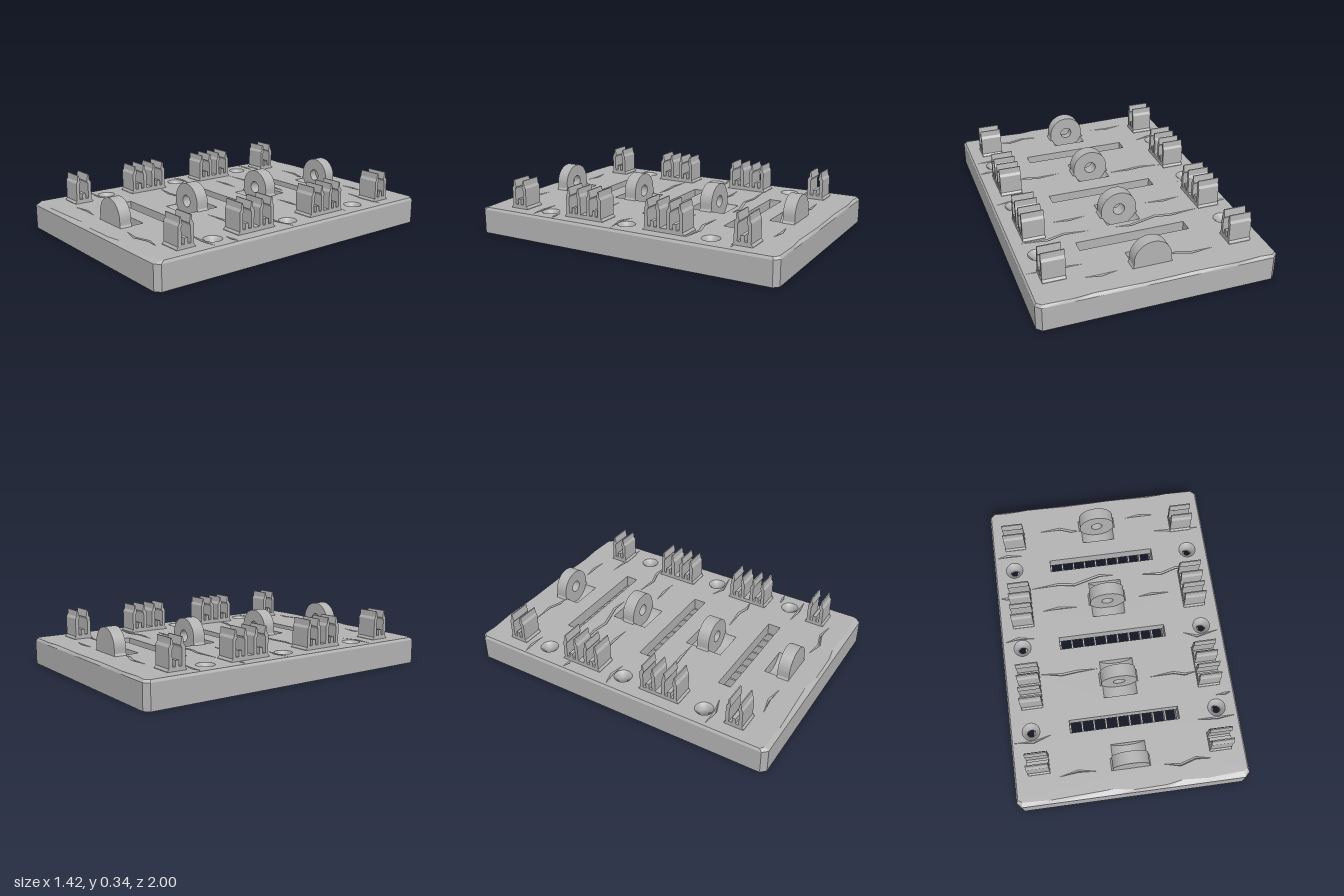
import * as THREE from 'three';

const TOP = 0.165, SHOULDER = 0.15, CEIL = 0.09;

export function createModel() {
  const group = new THREE.Group();
  const grey = new THREE.MeshStandardMaterial({ color: 0xb2b2b2, side: THREE.DoubleSide });
  grey.name = 'grey';

  const add = (name, geo, x = 0, y = 0, z = 0) => {
    const m = new THREE.Mesh(geo, grey);
    m.name = name;
    m.position.set(x, y, z);
    group.add(m);
    return m;
  };
  // plan shapes are given in x,z
  const path = (pts, C = THREE.Path) => new C(pts.map(([x, z]) => new THREE.Vector2(x, -z)));
  const rect = (x0, x1, z0, z1) => [[x0, z0], [x0, z1], [x1, z1], [x1, z0]];
  const circle = (x, z, r) => {
    const pts = [];
    for (let i = 0; i < 24; i++) pts.push([x + r * Math.cos(i * Math.PI / 12), z + r * Math.sin(i * Math.PI / 12)]);
    return pts;
  };
  const planShape = (outline, holes) => {
    const s = path(outline, THREE.Shape);
    holes.forEach(h => s.holes.push(path(h)));
    return s;
  };
  const slab = (outline, holes, y0, y1) =>
    new THREE.ExtrudeGeometry(planShape(outline, holes), { depth: y1 - y0, bevelEnabled: false })
      .rotateX(-Math.PI / 2).translate(0, y0, 0);
  // band of flat quads between two rows of points
  const strip = (a, b) => {
    const v = [];
    for (let i = 0; i + 1 < a.length; i++) v.push(...a[i], ...b[i], ...b[i + 1], ...a[i], ...b[i + 1], ...a[i + 1]);
    const g = new THREE.BufferGeometry();
    g.setAttribute('position', new THREE.Float32BufferAttribute(v, 3));
    g.computeVertexNormals();
    return g;
  };
  const wall = (pts, y0, y1) => {
    const loop = [...pts, pts[0]];
    return strip(loop.map(([x, z]) => [x, y0, z]), loop.map(([x, z]) => [x, y1, z]));
  };

  // openings in the plate
  const rows = [-0.55, 0, 0.55];
  const slots = rows.map(z => rect(-0.34, 0.34, z - 0.04, z + 0.04));
  const screws = rows.flatMap(z => [[-0.58, z], [0.58, z]]);
  const screwHoles = screws.map(([x, z]) => circle(x, z, 0.055));
  const troughs = [[-0.78, -0.695], [-0.395, -0.155], [0.155, 0.395], [0.695, 0.78]];
  const troughHoles = troughs.map(([a, b]) => rect(-0.105, 0.105, a, b));

  // body: lower frame with three pockets, then the deck
  const outline = [[-0.68, 1], [0.68, 1], [0.71, 0.97], [0.71, -0.97], [0.68, -1], [-0.68, -1], [-0.71, -0.97], [-0.71, 0.97]];
  const pockets = rows.map(z => rect(-0.67, 0.67, z - 0.22, z + 0.22));
  add('lowerFrame', slab(outline, pockets, 0, CEIL));
  add('deck', slab(outline, [...slots, ...screwHoles, ...troughHoles], CEIL, SHOULDER));

  // worn top edge: outer point and matching inner point
  const front = [[-0.5, 0.98], [-0.12, 0.965], [0, 0.985], [0.2, 0.982], [0.3, 0.965], [0.45, 0.975]];
  const back = [[0.5, -0.992], [0.38, -0.982], [0.1, -0.99], [-0.2, -0.984], [-0.45, -0.992], [-0.6, -0.982]];
  const inner = [[-0.675, 0.972], ...front, [0.675, 0.962], [0.7, 0.95], [0.7, -0.965],
    [0.675, -0.988], ...back, [-0.675, -0.988], [-0.7, -0.965], [-0.7, 0.955]];
  const outer = [outline[0], ...front.map(p => [p[0], 1]), outline[1], outline[2], outline[3],
    outline[4], ...back.map(p => [p[0], -1]), outline[5], outline[6], outline[7]];
  const ring = (pts, y) => [...pts, pts[0]].map(([x, z]) => [x, y, z]);
  add('wornEdge', strip(ring(outer, SHOULDER), ring(inner, TOP)));

  // cracks: shallow V grooves along zigzag lines
  const cracks = [
    [[-0.39, -0.81], [-0.25, -0.818], [-0.17, -0.79], [-0.125, -0.787]],
    [[0.2, -0.84], [0.3, -0.85], [0.4, -0.84]],
    [[0.36, -0.72], [0.5, -0.71], [0.69, -0.708]],
    [[-0.69, -0.65], [-0.62, -0.66], [-0.52, -0.65]],
    [[-0.49, -0.4], [-0.3, -0.412], [-0.2, -0.395], [-0.03, -0.44], [0.07, -0.43]],
    [[0.23, -0.415], [0.38, -0.4], [0.48, -0.43], [0.65, -0.415]],
    [[-0.69, -0.36], [-0.65, -0.354], [-0.6, -0.35]],
    [[-0.43, -0.235], [-0.32, -0.245], [-0.2, -0.235]],
    [[0.2, -0.255], [0.3, -0.265], [0.41, -0.26]],
    [[-0.69, -0.05], [-0.6, -0.068], [-0.5, -0.055]],
    [[0.45, 0.03], [0.54, 0.067], [0.69, 0.04]],
    [[-0.49, 0.19], [-0.35, 0.21], [-0.25, 0.2], [-0.12, 0.2]],
    [[0.19, 0.3], [0.35, 0.29], [0.42, 0.31], [0.5, 0.3]],
    [[0.59, 0.47], [0.65, 0.468], [0.69, 0.46]],
    [[-0.69, 0.61], [-0.57, 0.617], [-0.46, 0.585]],
    [[0.44, 0.61], [0.57, 0.617], [0.69, 0.61]],
    [[-0.44, 0.85], [-0.32, 0.83], [-0.21, 0.845]],
    [[0.19, 0.855], [0.3, 0.875], [0.4, 0.845], [0.5, 0.86]],
  ];
  const crackHoles = cracks.map(pts => {
    const w = i => (i === 0 || i === pts.length - 1 ? 0 : 0.008);
    const far = pts.map(([x, z], i) => [x, z - w(i)]);
    const near = pts.map(([x, z], i) => [x, z + w(i)]);
    const at = (list, y) => list.map(([x, z]) => [x, y, z]);
    const bed = pts.map(([x, z], i) => [x, w(i) ? TOP - 0.013 : TOP, z]);
    add('crackFarSide', strip(at(far, TOP), bed));
    add('crackNearSide', strip(bed, at(near, TOP)));
    return [...far, ...near.slice(1, -1).reverse()];
  });
  add('deckSurface', new THREE.ShapeGeometry(planShape(inner, [...slots, ...screwHoles, ...troughHoles, ...crackHoles]))
    .rotateX(-Math.PI / 2).translate(0, TOP, 0));
  [...slots, ...troughHoles].forEach(h => add('openingLip', wall(h, SHOULDER, TOP)));

  // countersunk screw holes
  const sink = [[0.055, CEIL], [0.026, CEIL], [0.026, 0.135], [0.055, TOP]].map(p => new THREE.Vector2(...p));
  screws.forEach(([x, z]) => add('screwHole', new THREE.LatheGeometry(sink, 24), x, 0, z));

  // ribs across the pockets
  for (const z of rows)
    for (let i = 0; i < 18; i++)
      add('rib', new THREE.BoxGeometry(0.012, CEIL, 0.44), (i - 8.5) * 0.075, CEIL / 2, z);

  // rounded troughs beside the discs
  troughs.forEach(([a, b]) => {
    const z = (a + b) / 2;
    add('trough', new THREE.CylinderGeometry(0.114, 0.114, b - a, 24, 1, true, -1.17, 2.34).rotateX(Math.PI / 2), 0, 0.208, z);
    add('troughFloor', new THREE.BoxGeometry(0.22, 0.004, b - a + 0.01), 0, CEIL + 0.002, z);
  });

  // round-topped bearing discs
  const disc = (name, z0, z1, bored) => {
    const s = new THREE.Shape();
    s.moveTo(-0.105, 0.1);
    s.lineTo(-0.12, TOP);
    s.lineTo(-0.112, 0.178);
    s.absarc(0, 0.208, 0.112, Math.PI, 0, true);
    s.lineTo(0.112, 0.178);
    s.lineTo(0.12, TOP);
    s.lineTo(0.105, 0.1);
    if (bored) s.holes.push(new THREE.Path().absarc(0, 0.208, 0.037, 0, Math.PI * 2));
    add(name, new THREE.ExtrudeGeometry(s, { depth: z1 - z0, bevelEnabled: false, curveSegments: 32 }), 0, 0, z0);
  };
  disc('middleDisc', 0.235, 0.315, true);
  disc('middleDisc', -0.315, -0.235, true);
  disc('frontDisc', 0.78, 0.83, true);
  disc('frontDiscCap', 0.83, 0.855, false);
  disc('backDisc', -0.83, -0.78, true);
  disc('backDiscCap', -0.855, -0.83, false);

  // spring clips: one cross-section, mirrored about its middle
  const half = [[0.0615, 0.16], [0.0615, 0.168], [0.051, 0.182], [0.051, 0.295], [0.041, 0.31], [0.038, 0.345],
    [0.031, 0.345], [0.022, 0.3], [0.03, 0.285], [0.03, 0.19], [0.011, 0.19], [0.011, 0.225]];
  const section = new THREE.Shape([...half, ...half.map(([a, b]) => [-a, b]).reverse()].map(p => new THREE.Vector2(...p)));
  const clip = new THREE.ExtrudeGeometry(section, { depth: 0.135, bevelEnabled: false })
    .translate(0, 0, -0.0675).rotateY(Math.PI / 2);
  for (const x of [-0.5575, 0.5575])
    for (const z of [0.2, 0.345, 0.758])
      for (const side of [-1, 1]) add('clip', clip, x, 0, z * side);
  // low bridge joining each clip pair
  for (const x of [-0.5575, 0.5575])
    for (const z of [-0.2725, 0.2725]) add('clipBridge', new THREE.BoxGeometry(0.135, 0.025, 0.06), x, 0.1775, z);

  return group;
}
